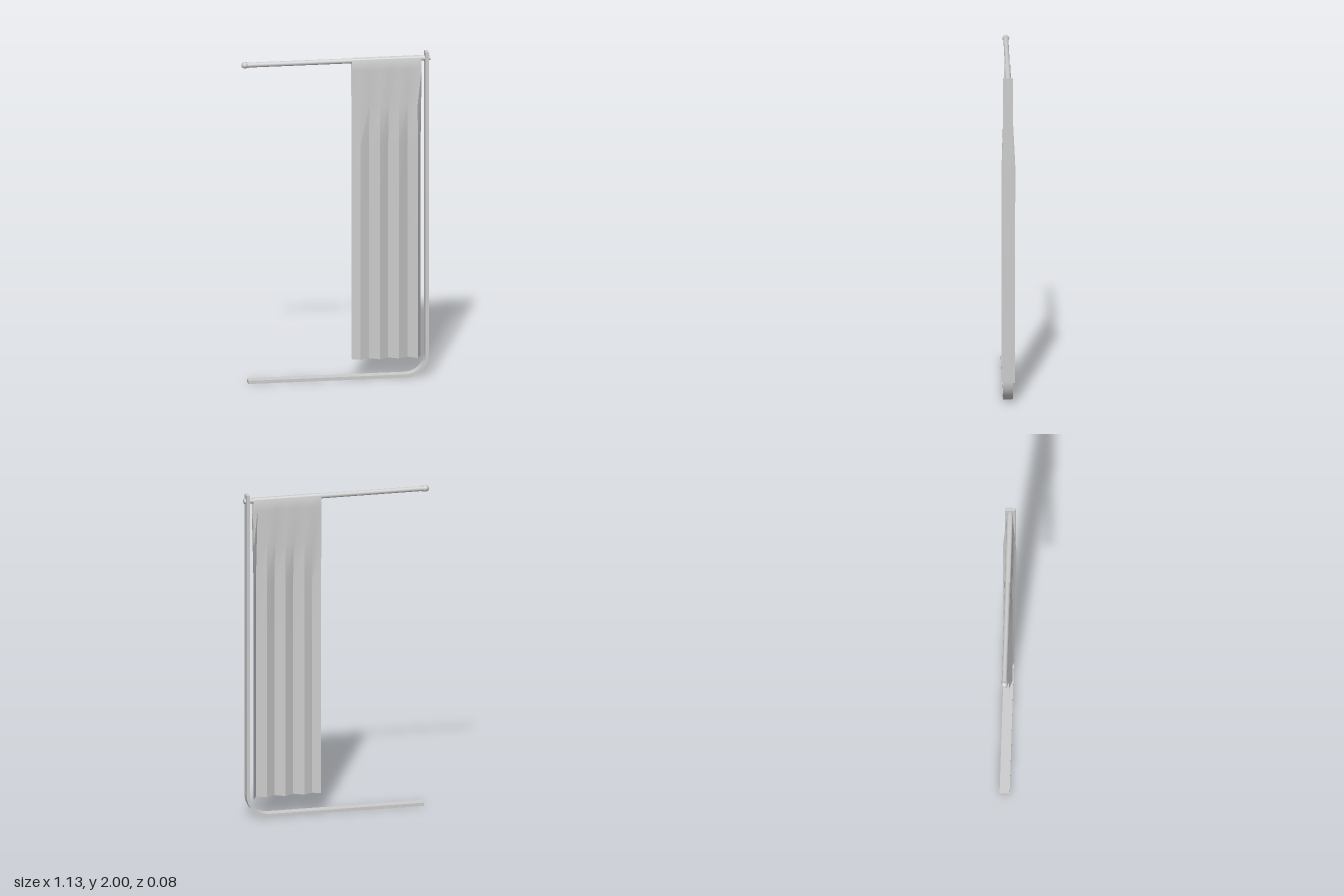
import * as THREE from 'three';
import { toCreasedNormals, mergeVertices } from 'three/addons/utils/BufferGeometryUtils.js';

const grey = new THREE.MeshStandardMaterial({ color: 0xcccccc });
const cloth = new THREE.MeshStandardMaterial({ color: 0xcccccc, side: THREE.DoubleSide });
const RAIL_Y = 1.96;

function add(group, name, geometry, material = grey) {
  const mesh = new THREE.Mesh(geometry, material);
  mesh.name = name;
  group.add(mesh);
  return mesh;
}

// Flat bar bent from the floor foot up into the post
function frameGeometry() {
  const s = new THREE.Shape();
  s.moveTo(-0.53, 0);
  s.lineTo(0.415, 0);
  s.absarc(0.415, 0.14, 0.14, -Math.PI / 2, 0, false);
  s.lineTo(0.555, 2);
  s.lineTo(0.535, 2);
  s.lineTo(0.535, 0.14);
  s.absarc(0.415, 0.14, 0.12, 0, -Math.PI / 2, true);
  s.lineTo(-0.53, 0.02);
  const g = new THREE.ExtrudeGeometry(s, { depth: 0.06, bevelEnabled: false, curveSegments: 12 });
  g.translate(0, 0, -0.031);
  return toCreasedNormals(g, 0.6);
}

// Towel looped over the rail: pleats [x, z offset] fade in below the rail
function towelGeometry() {
  const pleats = [[0.095, 0], [0.145, 0.018], [0.2, -0.01], [0.26, 0.026], [0.315, -0.01],
    [0.375, 0.026], [0.43, -0.01], [0.487, 0.031], [0.513, -0.033]];
  // Section around the rail as [y, z, pleat amount]
  const front = [[0.12, 0.008, 1], [1.0, 0.008, 1], [1.45, 0.009, 1], [1.68, 0.014, 0.5], [1.9, 0.018, 0]];
  const section = [...front];
  for (let i = 0; i <= 10; i++) {
    const a = (i / 10) * Math.PI;
    section.push([RAIL_Y + 0.018 * Math.sin(a), 0.018 * Math.cos(a), 0]);
  }
  section.push(...front.map(([y, z, k]) => [y, -z, k]).reverse());

  const pos = [], index = [], rows = section.length;
  pleats.forEach(([x, dz]) => section.forEach(([y, z, k]) => pos.push(x, y, z + dz * k - 0.002)));
  for (let i = 0; i < pleats.length - 1; i++) {
    for (let j = 0; j < rows - 1; j++) {
      const a = i * rows + j, b = a + rows;
      index.push(a, b, b + 1, a, b + 1, a + 1);
    }
  }
  const g = new THREE.BufferGeometry();
  g.setAttribute('position', new THREE.Float32BufferAttribute(pos, 3));
  g.setIndex(index);
  return toCreasedNormals(mergeVertices(g), 0.7);
}

export function createModel() {
  const model = new THREE.Group();
  model.name = 'towelStand';
  add(model, 'frame', frameGeometry());

  // Horizontal rail passing through the top of the post
  const rail = new THREE.CylinderGeometry(0.015, 0.015, 1.097, 16);
  rail.rotateZ(Math.PI / 2);
  add(model, 'rail', rail).position.set(0.0185, RAIL_Y, -0.002);

  // Rounded knob with a short collar at the free end
  const knob = new THREE.SphereGeometry(0.021, 12, 8);
  knob.rotateZ(Math.PI / 2);
  add(model, 'knob', knob).position.set(-0.546, RAIL_Y, -0.002);
  const collar = new THREE.CylinderGeometry(0.018, 0.018, 0.01, 12);
  collar.rotateZ(Math.PI / 2);
  add(model, 'knobCollar', collar).position.set(-0.529, RAIL_Y, -0.002);

  add(model, 'towel', towelGeometry(), cloth);
  return model;
}
